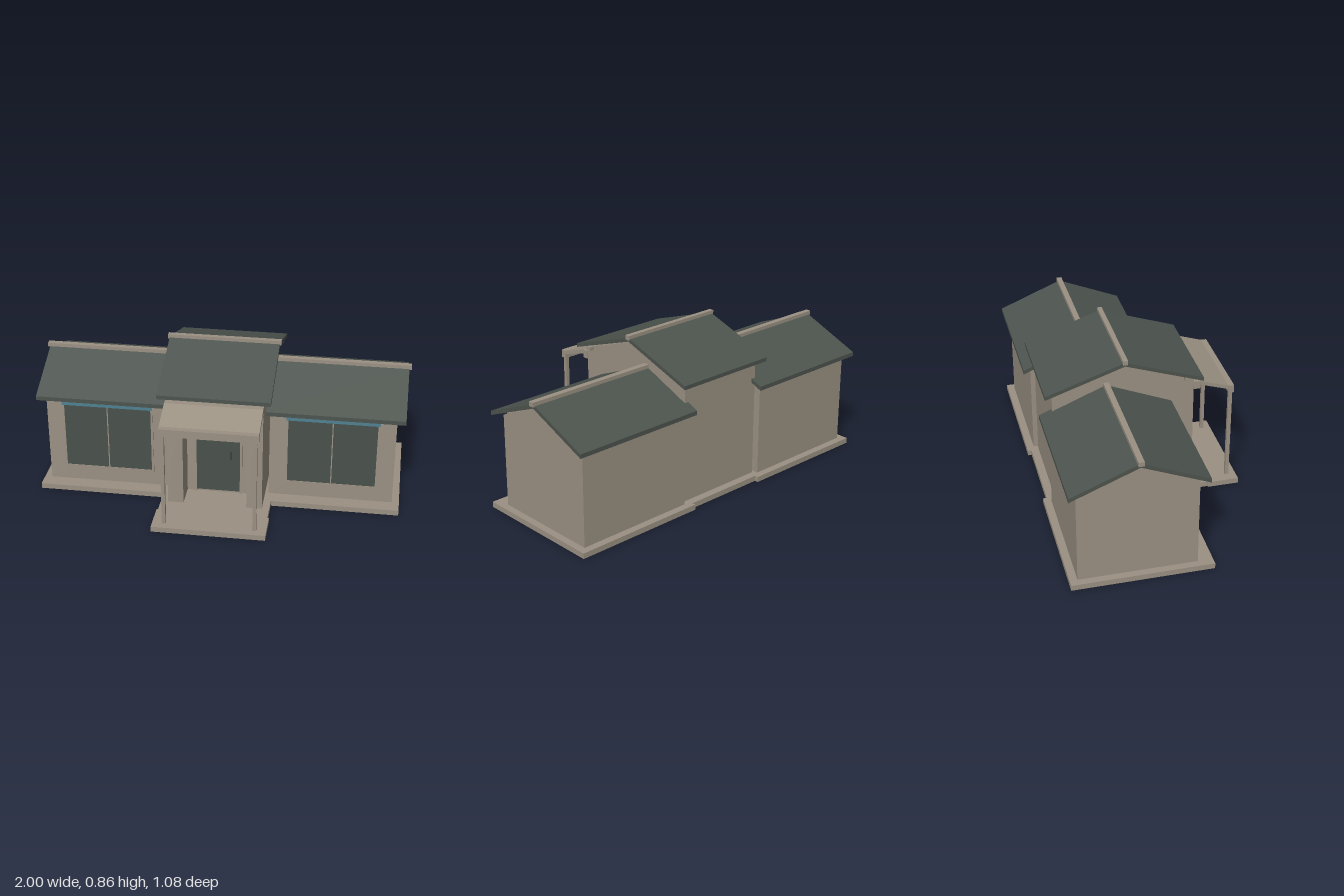
import * as THREE from 'three';

const mat = (name, color) => {
  const m = new THREE.MeshStandardMaterial({ color });
  m.name = name;
  return m;
};

export function createModel() {
  const model = new THREE.Group();
  model.name = 'house';
  const plaster = mat('plaster', 0x9b9183);
  const slate = mat('slate', 0x4d544e);
  const glass = mat('darkGlass', 0x49504b);
  const teal = mat('teal', 0x4f8190);
  const metal = mat('darkMetal', 0x2b2e2c);

  const add = (parent, name, geometry, material) => {
    const mesh = new THREE.Mesh(geometry, material);
    mesh.name = name;
    parent.add(mesh);
    return mesh;
  };
  // Box given by its limits on each axis
  const box = (parent, name, material, [x0, x1], [y0, y1], [z0, z1]) => {
    const g = new THREE.BoxGeometry(x1 - x0, y1 - y0, z1 - z0);
    g.translate((x0 + x1) / 2, (y0 + y1) / 2, (z0 + z1) / 2);
    return add(parent, name, g, material);
  };
  // Side profile of [z, y] points extruded along x
  const prism = (parent, name, material, points, [x0, x1]) => {
    const shape = new THREE.Shape(points.map(([z, y]) => new THREE.Vector2(-z, y)));
    const g = new THREE.ExtrudeGeometry(shape, { depth: x1 - x0, bevelEnabled: false });
    g.rotateY(Math.PI / 2).translate(x0, 0, 0);
    return add(parent, name, g, material);
  };
  // Pitched roof with constant vertical thickness, plus its ridge cap
  const roof = (parent, { x, ridgeX, zc, half, eave, apex, thick, cap }) => {
    prism(parent, 'roof', slate, [
      [zc + half, eave], [zc + half, eave + thick], [zc, apex], [zc - half, eave + thick],
      [zc - half, eave], [zc, apex - thick],
    ], x);
    box(parent, 'ridgeCap', plaster, ridgeX, [apex - 0.01, apex + 0.014], [zc - cap, zc + cap]);
  };

  // Side wings, mirrored by their x limits
  for (const s of [-1, 1]) {
    const span = (a, b) => (s > 0 ? [a, b] : [-b, -a]);
    const wing = new THREE.Group();
    wing.name = s > 0 ? 'leftWing' : 'rightWing';
    model.add(wing);

    box(wing, 'wingSlab', plaster, span(0.235, 0.982), [0, 0.03], [-0.535, 0.2]);
    box(wing, 'wingWalls', plaster, span(0.273, 0.943), [0.03, 0.535], [-0.495, 0.12]);
    prism(wing, 'gable', plaster, [[0.12, 0.535], [-0.187, 0.672], [-0.495, 0.535]], span(0.273, 0.943));
    for (const z of [0.082, -0.457]) {
      box(wing, 'wallPlate', plaster, span(0.273, 0.943), [0.533, 0.558], [z - 0.01, z + 0.01]);
    }
    roof(wing, {
      x: span(0.232, 0.988), ridgeX: span(0.23, 1), zc: -0.187, half: 0.35,
      eave: 0.533, apex: 0.7, thick: 0.023, cap: 0.015,
    });

    // Window: frame bars, two panes, blind box above
    const frameZ = [0.12, 0.126];
    box(wing, 'frameBottom', plaster, span(0.36, 0.858), [0.11, 0.123], frameZ);
    box(wing, 'frameTop', plaster, span(0.36, 0.858), [0.5, 0.512], frameZ);
    box(wing, 'frameInner', plaster, span(0.36, 0.372), [0.123, 0.5], frameZ);
    box(wing, 'frameOuter', plaster, span(0.846, 0.858), [0.123, 0.5], frameZ);
    box(wing, 'mullion', plaster, span(0.606, 0.612), [0.123, 0.5], frameZ);
    box(wing, 'paneInner', glass, span(0.372, 0.606), [0.123, 0.5], [0.12, 0.123]);
    box(wing, 'paneOuter', glass, span(0.612, 0.846), [0.123, 0.5], [0.12, 0.123]);
    box(wing, 'blindBox', teal, span(0.361, 0.857), [0.497, 0.535], [0.12, 0.131]);
  }

  // Taller central block with a recessed entrance
  const hall = new THREE.Group();
  hall.name = 'centralHall';
  model.add(hall);
  const hallX = [-0.255, 0.255];
  box(hall, 'hallSlab', plaster, [-0.295, 0.295], [0, 0.03], [-0.515, 0.367]);
  box(hall, 'hallWalls', plaster, hallX, [0.03, 0.676], [-0.472, 0.143]);
  for (const x of [[-0.255, -0.171], [0.171, 0.255]]) {
    box(hall, 'entrancePier', plaster, x, [0.03, 0.676], [0.143, 0.283]);
  }
  box(hall, 'lintel', plaster, [-0.171, 0.171], [0.545, 0.676], [0.143, 0.283]);
  prism(hall, 'gable', plaster, [[0.283, 0.676], [-0.094, 0.81], [-0.472, 0.676]], hallX);
  for (const z of [[0.23, 0.258], [-0.472, -0.447]]) {
    box(hall, 'wallPlate', plaster, [-0.283, 0.283], [0.674, 0.696], z);
  }
  roof(hall, {
    x: [-0.297, 0.297], ridgeX: [-0.305, 0.305], zc: -0.095, half: 0.419,
    eave: 0.677, apex: 0.841, thick: 0.021, cap: 0.013,
  });

  // Door with frame, handle and blind box
  for (const x of [[-0.13, -0.118], [0.118, 0.13]]) {
    box(hall, 'doorJamb', plaster, x, [0.03, 0.512], [0.143, 0.151]);
  }
  box(hall, 'doorHead', plaster, [-0.118, 0.118], [0.5, 0.512], [0.143, 0.151]);
  box(hall, 'door', glass, [-0.118, 0.118], [0.042, 0.5], [0.143, 0.149]);
  box(hall, 'doorHandle', metal, [0.067, 0.073], [0.245, 0.29], [0.149, 0.157]);
  box(hall, 'entranceBlindBox', teal, [-0.165, 0.165], [0.497, 0.542], [0.281, 0.294]);

  // Porch: slab, two posts, beams and a sloping canopy
  const porch = new THREE.Group();
  porch.name = 'porch';
  model.add(porch);
  box(porch, 'porchSlab', plaster, [-0.303, 0.303], [0, 0.03], [0.367, 0.538]);
  for (const x of [-0.24, 0.24]) {
    box(porch, 'post', plaster, [x - 0.01, x + 0.01], [0.03, 0.562], [0.479, 0.499]);
  }
  box(porch, 'frontBeam', plaster, [-0.258, 0.258], [0.56, 0.603], [0.474, 0.505]);
  box(porch, 'backBeam', plaster, [-0.258, 0.258], [0.61, 0.654], [0.283, 0.318]);
  prism(porch, 'canopy', plaster, [
    [0.474, 0.583], [0.474, 0.603], [0.318, 0.654], [0.318, 0.632],
  ], [-0.258, 0.258]);

  return model;
}
